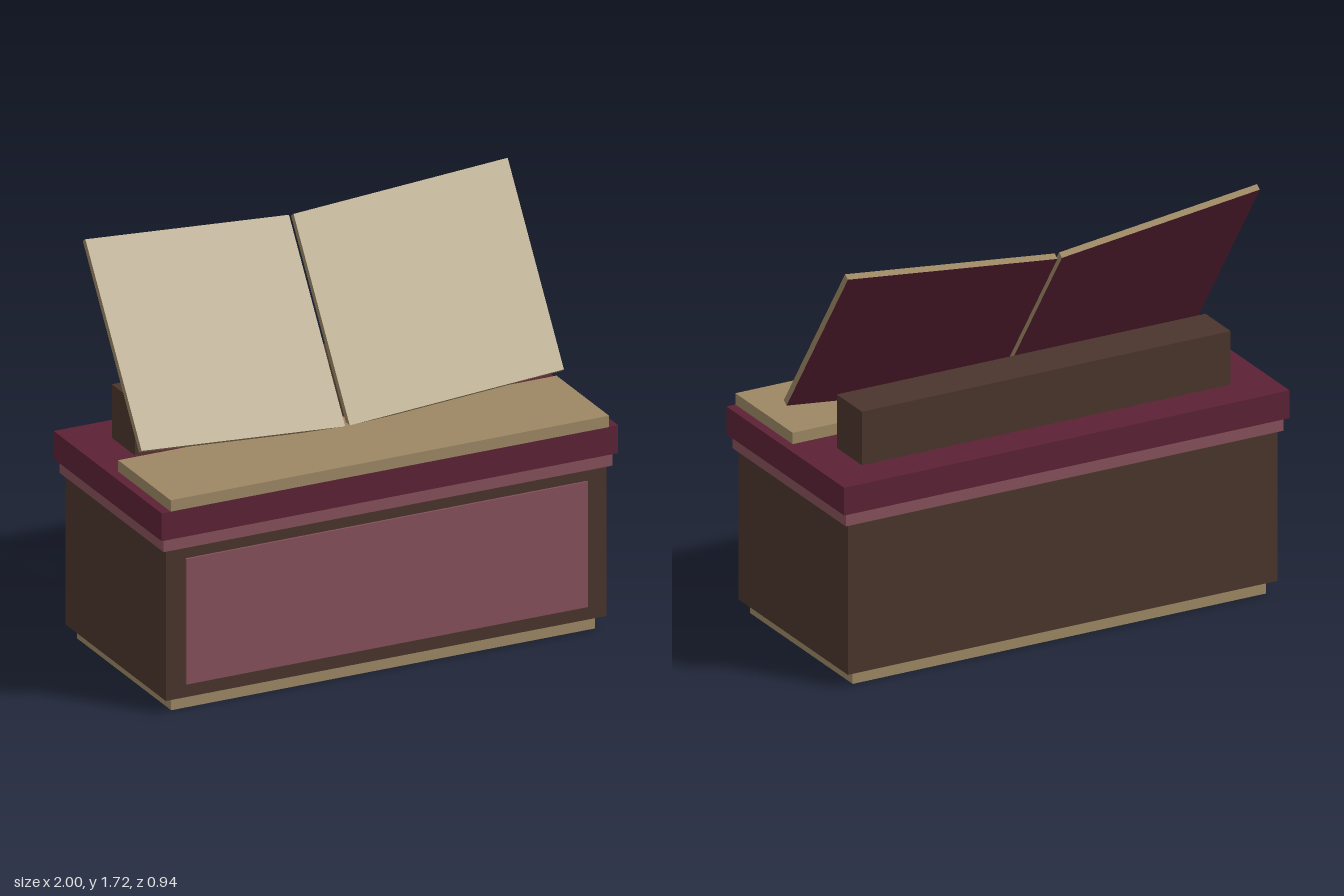
import * as THREE from 'three';

const mat = (name, color) => {
  const m = new THREE.MeshStandardMaterial({ color });
  m.name = name;
  return m;
};

export function createModel() {
  const group = new THREE.Group();
  group.name = 'bookLectern';

  const tan = mat('tan', 0x9c8763);
  const brown = mat('darkBrown', 0x4a352c);
  const maroon = mat('maroon', 0x5c2235);
  const rose = mat('dustyRose', 0x85505a);
  const cream = mat('cream', 0xc6b99f);

  // Box given by half width and its y and z ranges
  const box = (name, halfX, y0, y1, z0, z1, material) => {
    const mesh = new THREE.Mesh(new THREE.BoxGeometry(halfX * 2, y1 - y0, z1 - z0), material);
    mesh.position.set(0, (y0 + y1) / 2, (z0 + z1) / 2);
    mesh.name = name;
    group.add(mesh);
  };

  // Chest
  box('plinth', 0.928, 0, 0.056, -0.41, 0.41, tan);
  box('body', 0.965, 0.056, 0.696, -0.437, 0.437, brown);
  box('frontPanel', 0.88, 0.113, 0.645, 0.437, 0.446, rose);
  box('trim', 0.983, 0.696, 0.752, -0.453, 0.453, rose);
  box('topSlab', 1, 0.752, 0.87, -0.47, 0.47, maroon);

  // On top of the chest
  box('shelf', 0.96, 0.87, 0.918, 0.012, 0.47, tan);
  box('bookRest', 0.828, 0.87, 1.097, -0.306, -0.105, brown);

  // Open book: two slanted halves, cream in front and maroon behind
  const up = new THREE.Vector3(0, 0.715, -0.49);
  const forward = new THREE.Vector3(0, 0.49, 0.715).setLength(0.027);
  for (const side of [1, -1]) {
    const across = new THREE.Vector3(0.915, 0.084 * side, 0.046 * side);
    const centre = new THREE.Vector3(0.4675 * side, 1.316, -0.122).addScaledVector(forward, -0.5);
    const geometry = new THREE.BoxGeometry(1, 1, 1);
    geometry.applyMatrix4(new THREE.Matrix4().makeBasis(across, up, forward));
    const half = new THREE.Mesh(geometry, [tan, tan, tan, tan, cream, maroon]);
    half.position.copy(centre);
    half.name = side > 0 ? 'leftBookHalf' : 'rightBookHalf';
    group.add(half);
  }

  return group;
}
